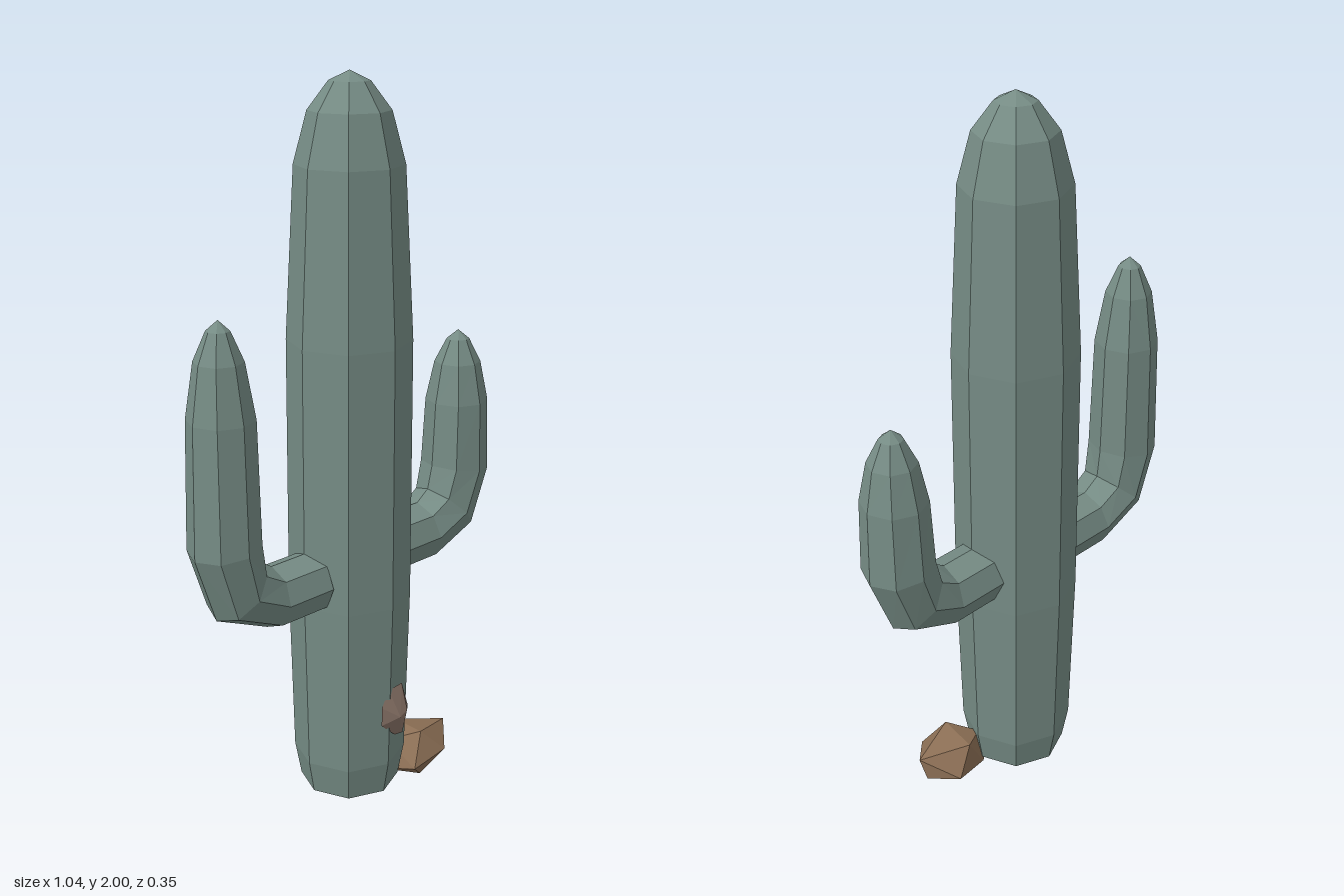
import * as THREE from 'three';
import { ConvexGeometry } from 'three/addons/geometries/ConvexGeometry.js';

const SIDES = 8;

// Facet every triangle for the low-poly look
function faceted(geometry) {
  const flat = geometry.index ? geometry.toNonIndexed() : geometry;
  flat.computeVertexNormals();
  return flat;
}

// Eight-sided limb through rings [outerX, outerY, innerX, innerY, halfDepth];
// the last ring is a single tip point, the first is capped.
function limbGeometry(rings, side) {
  const positions = [], index = [];
  for (const [ox, oy, ix, iy, depth] of rings) {
    for (let k = 0; k < SIDES; k++) {
      const a = (k / SIDES) * Math.PI * 2, c = Math.cos(a);
      positions.push(
        side * ((ox + ix) / 2 + ((ox - ix) / 2) * c),
        (oy + iy) / 2 + ((oy - iy) / 2) * c,
        depth * Math.sin(a)
      );
    }
  }
  const tri = (a, b, c) => (side > 0 ? index.push(a, b, c) : index.push(a, c, b));
  for (let r = 0; r < rings.length - 1; r++) {
    for (let k = 0; k < SIDES; k++) {
      const a = r * SIDES + k, b = r * SIDES + ((k + 1) % SIDES);
      tri(a, a + SIDES, b);
      if (r < rings.length - 2) tri(b, a + SIDES, b + SIDES);
    }
  }
  for (let k = 1; k < SIDES - 1; k++) tri(0, k, k + 1);
  const geometry = new THREE.BufferGeometry();
  geometry.setAttribute('position', new THREE.Float32BufferAttribute(positions, 3));
  geometry.setIndex(index);
  return faceted(geometry);
}

function rockGeometry(points) {
  return faceted(new ConvexGeometry(points.map((p) => new THREE.Vector3(...p))));
}

export function createModel() {
  const group = new THREE.Group();
  const material = (name, color) => {
    const m = new THREE.MeshStandardMaterial({ color });
    m.name = name;
    return m;
  };
  const green = material('cactusGreen', 0x768c85);
  const brown = material('rockBrown', 0x8c6f55);
  const greyBrown = material('stoneGreyBrown', 0x8a7468);

  const add = (name, geometry, mat) => {
    const mesh = new THREE.Mesh(geometry, mat);
    mesh.name = name;
    group.add(mesh);
    return mesh;
  };

  // Trunk: octagonal column with a domed top
  const profile = [
    [0, 0.045], [0.138, 0.045], [0.155, 0.14], [0.166, 0.62], [0.164, 1.33],
    [0.14, 1.775], [0.105, 1.905], [0.052, 1.975], [0, 2],
  ].map(([x, y]) => new THREE.Vector2(x, y));
  const trunk = add('trunk', faceted(new THREE.LatheGeometry(profile, SIDES)), green);
  trunk.position.set(0.004, 0, -0.004);

  // Arms: out from the trunk, then bending upward
  const leftArm = add('leftArm', limbGeometry([
    [0.135, 0.635, 0.135, 0.805, 0.085],
    [0.29, 0.635, 0.27, 0.805, 0.085],
    [0.45, 0.7, 0.312, 0.835, 0.09],
    [0.516, 0.87, 0.328, 0.9, 0.096],
    [0.51, 1.08, 0.338, 1.08, 0.088],
    [0.488, 1.19, 0.36, 1.19, 0.064],
    [0.455, 1.255, 0.393, 1.255, 0.031],
    [0.424, 1.28, 0.424, 1.28, 0],
  ], 1), green);
  const rightArm = add('rightArm', limbGeometry([
    [0.135, 0.612, 0.135, 0.778, 0.085],
    [0.295, 0.612, 0.275, 0.778, 0.085],
    [0.46, 0.685, 0.325, 0.81, 0.09],
    [0.521, 0.865, 0.334, 0.89, 0.096],
    [0.512, 1.21, 0.34, 1.21, 0.087],
    [0.489, 1.355, 0.365, 1.355, 0.063],
    [0.456, 1.43, 0.397, 1.43, 0.03],
    [0.426, 1.456, 0.426, 1.456, 0],
  ], -1), green);
  leftArm.position.z = rightArm.position.z = -0.004;

  // Rock resting against the foot of the trunk
  add('baseRock', rockGeometry([
    [0.19, 0.145, 0.1], [0.33, 0.115, 0.06], [0.32, 0.05, 0.04], [0.19, 0.005, 0.1],
    [0.09, 0.035, 0.03], [0.125, 0.115, 0.03], [0.25, 0.08, 0.14], [0.13, 0.06, 0.135],
    [0.2, 0.135, -0.012], [0.26, 0.06, -0.036], [0.14, 0.03, -0.005],
  ]), brown);

  // Small stone set into the front of the trunk
  add('trunkStone', rockGeometry([
    [-0.022, 0.325, 0.15], [0.005, 0.37, 0.15], [0.055, 0.375, 0.15], [0.075, 0.3, 0.155],
    [0.06, 0.218, 0.15], [0.03, 0.222, 0.15], [-0.022, 0.27, 0.15],
    [0.025, 0.29, 0.176], [0.055, 0.3, 0.172], [0.03, 0.3, 0.132],
  ]), greyBrown);

  return group;
}
